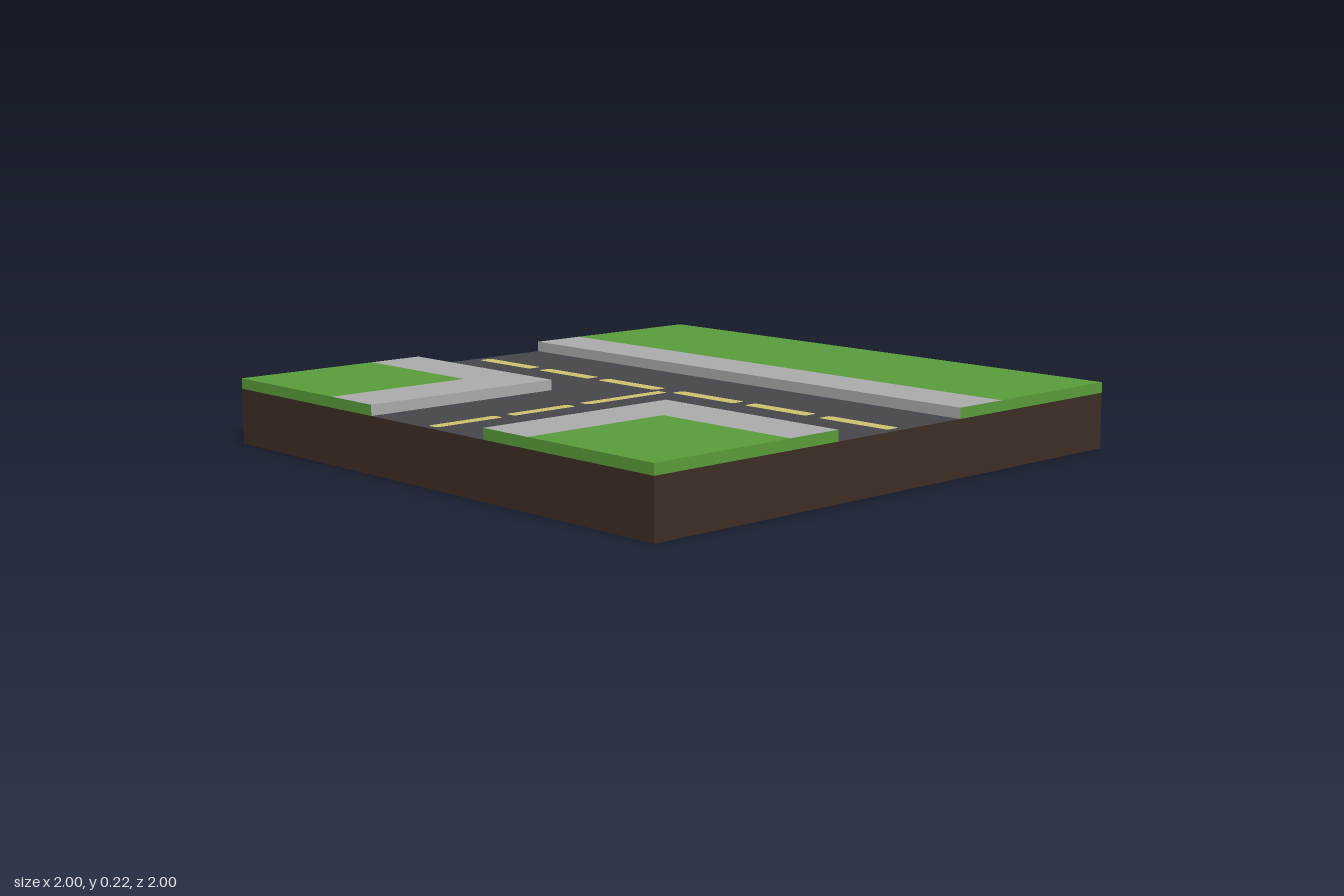
import * as THREE from 'three';

const ROAD_Y = 0.185, TOP_Y = 0.22;
const KERB = 0.275, LAWN = 0.475;

function material(name, color) {
  const m = new THREE.MeshStandardMaterial({ color, side: THREE.DoubleSide });
  m.name = name;
  return m;
}

// Horizontal sheet from an [x, z] outline, with optional holes
function sheet(outline, y, holes = []) {
  const toVec = ([x, z]) => new THREE.Vector2(x, -z);
  const shape = new THREE.Shape(outline.map(toVec));
  shape.holes = holes.map(h => new THREE.Path(h.map(toVec)));
  return new THREE.ShapeGeometry(shape).rotateX(-Math.PI / 2).translate(0, y, 0);
}

// Vertical band along an [x, z] path; the outside is to the right of travel
function band(path, y0, y1) {
  const pos = [];
  for (let i = 0; i < path.length - 1; i++) {
    const [ax, az] = path[i], [bx, bz] = path[i + 1];
    pos.push(ax, y0, az, bx, y0, bz, bx, y1, bz);
    pos.push(ax, y0, az, bx, y1, bz, ax, y1, az);
  }
  const g = new THREE.BufferGeometry();
  g.setAttribute('position', new THREE.Float32BufferAttribute(pos, 3));
  g.computeVertexNormals();
  return g;
}

const rect = (x0, x1, z0, z1) => [[x0, z1], [x1, z1], [x1, z0], [x0, z0]];

// Dash outline with slightly clipped corners
function dash(x0, x1, z0, z1, c = 0.008) {
  return [[x0 + c, z1], [x1 - c, z1], [x1, z1 - c], [x1, z0 + c],
    [x1 - c, z0], [x0 + c, z0], [x0, z0 + c], [x0, z1 - c]];
}

export function createModel() {
  const model = new THREE.Group();
  model.name = 'roadJunction';
  const grass = material('grass', 0x599c3a);
  const asphalt = material('asphalt', 0x464549);
  const concrete = material('concrete', 0xababab);
  const paint = material('yellowPaint', 0xcbc16e);
  const earth = material('earth', 0x3d2d24);

  const add = (parent, name, geometry, mat) => {
    const mesh = new THREE.Mesh(geometry, mat);
    mesh.name = name;
    parent.add(mesh);
  };

  // Earth skirt, open underneath
  add(model, 'earthWalls', band([[-1, 1], [1, 1], [1, -1], [-1, -1], [-1, 1]], 0, ROAD_Y), earth);

  // Centre line dashes, inlaid in the road
  const dashes = [
    ...[[-0.97, -0.69], [-0.64, -0.38], [-0.33, -0.045], [0.035, 0.32], [0.37, 0.635], [0.69, 0.97]]
      .map(([a, b]) => dash(-0.026, 0.026, a, b)),
    ...[[-0.975, -0.72], [-0.675, -0.425], [-0.375, -0.03]]
      .map(([a, b]) => dash(a, b, -0.022, 0.022)),
  ];
  dashes.forEach((d, i) => add(model, `laneDash${i + 1}`, sheet(d, ROAD_Y), paint));

  // T-shaped road
  const k = KERB;
  add(model, 'road', sheet([[-k, 1], [k, 1], [k, -1], [-k, -1], [-k, -k], [-1, -k], [-1, k], [-k, k]],
    ROAD_Y, dashes), asphalt);

  // Straight verge along the left side
  const verge = new THREE.Group();
  verge.name = 'straightVerge';
  model.add(verge);
  add(verge, 'lawn', sheet(rect(LAWN, 1, -1, 1), TOP_Y), grass);
  add(verge, 'sidewalk', sheet(rect(KERB, LAWN, -1, 1), TOP_Y), concrete);
  add(verge, 'kerb', band([[k, -1], [k, 1]], ROAD_Y, TOP_Y), concrete);
  add(verge, 'turfEdge', band([[k, 1], [1, 1], [1, -1], [k, -1]], ROAD_Y, TOP_Y), grass);

  // Two corner blocks with L-shaped sidewalks
  for (const s of [1, -1]) {
    const block = new THREE.Group();
    block.name = s > 0 ? 'frontCornerBlock' : 'backCornerBlock';
    model.add(block);
    const lawnZ = s > 0 ? LAWN : 0.485;
    const place = pts => {
      const out = pts.map(([x, z]) => [x, z * s]);
      return s > 0 ? out : out.reverse();
    };
    add(block, 'lawn', sheet(place(rect(-1, -LAWN, lawnZ, 1)), TOP_Y), grass);
    add(block, 'sidewalk', sheet(place([[-1, k], [-1, lawnZ], [-LAWN, lawnZ], [-LAWN, 1], [-k, 1], [-k, k]]),
      TOP_Y), concrete);
    add(block, 'kerb', band(place([[-k, 1], [-k, k], [-1, k]]), ROAD_Y, TOP_Y), concrete);
    add(block, 'turfEdge', band(place([[-1, k], [-1, 1], [-k, 1]]), ROAD_Y, TOP_Y), grass);
  }
  return model;
}
